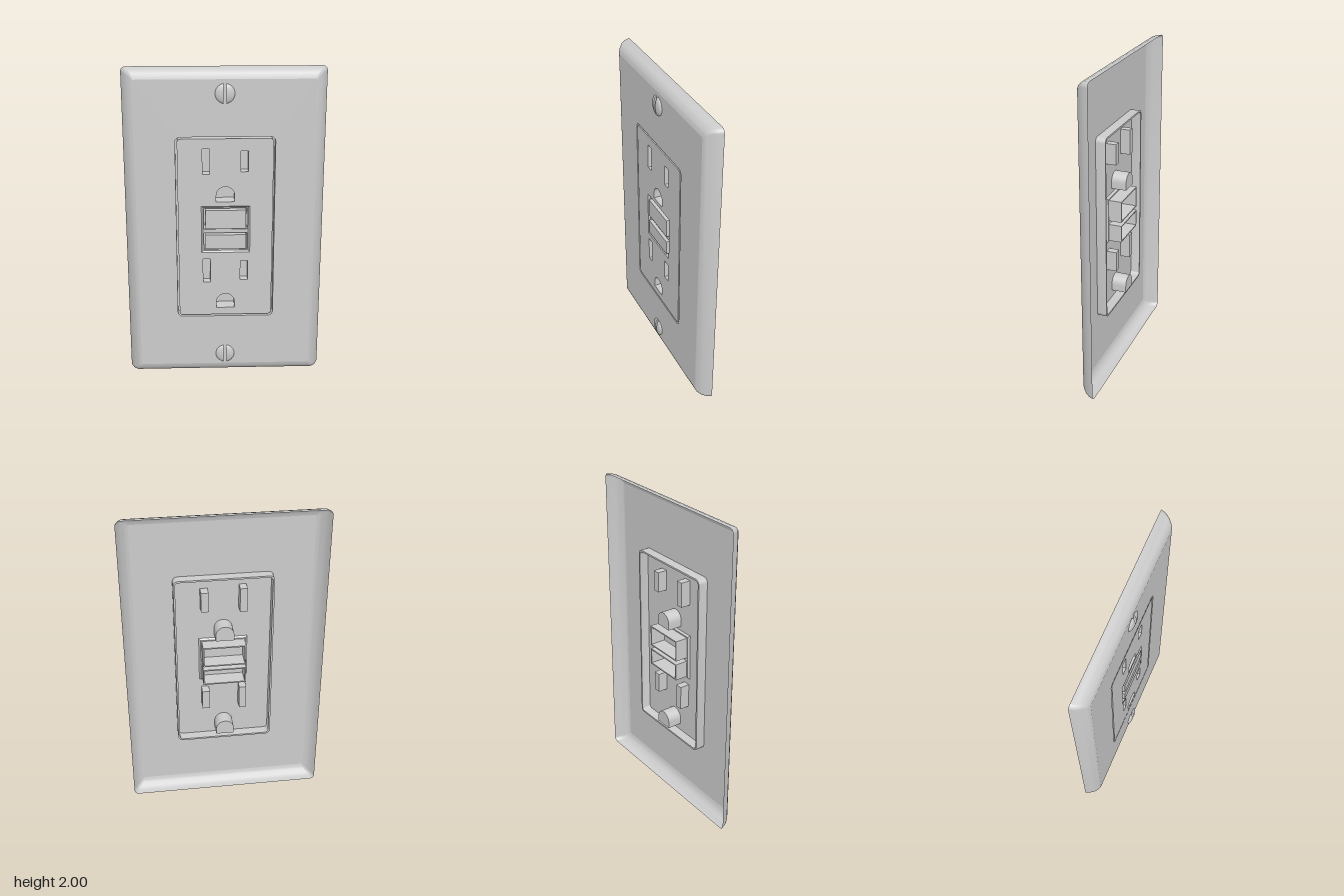
import * as THREE from 'three';
import { toCreasedNormals } from 'three/addons/utils/BufferGeometryUtils.js';

const FRONT = 0.038;      // front plane of the plate
const BACK = -0.057;      // deepest pockets
const material = new THREE.MeshStandardMaterial({ color: 0xcccccc, side: THREE.DoubleSide });

// Counter-clockwise rounded rectangle
function roundRect(x0, x1, y0, y1, r = 0, n = 6) {
  const pts = [];
  const corners = [[x1 - r, y0 + r], [x1 - r, y1 - r], [x0 + r, y1 - r], [x0 + r, y0 + r]];
  corners.forEach(([cx, cy], q) => {
    for (let i = 0; i <= (r ? n : 0); i++) {
      const a = (q - 1 + (r ? i / n : 0)) * Math.PI / 2;
      pts.push(new THREE.Vector2(cx + r * Math.cos(a), cy + r * Math.sin(a)));
    }
  });
  return pts;
}

// Flat-bottomed arch
function arch(cx, y0, cy, r) {
  const pts = [new THREE.Vector2(cx - r, y0), new THREE.Vector2(cx + r, y0)];
  for (let i = 0; i <= 16; i++) {
    const a = Math.PI * i / 16;
    pts.push(new THREE.Vector2(cx + r * Math.cos(a), cy + r * Math.sin(a)));
  }
  return pts;
}

// Skin through equal-length outlines [points, z], listed from back to front
function loft(loops, crease = 0.6) {
  const n = loops[0][0].length, pos = [], idx = [];
  for (const [pts, z] of loops) for (const p of pts) pos.push(p.x, p.y, z);
  for (let k = 0; k < loops.length - 1; k++) {
    for (let i = 0; i < n; i++) {
      const a = k * n + i, b = k * n + (i + 1) % n;
      idx.push(a, b, b + n, a, b + n, a + n);
    }
  }
  const g = new THREE.BufferGeometry();
  g.setAttribute('position', new THREE.Float32BufferAttribute(pos, 3));
  g.setIndex(idx);
  return toCreasedNormals(g, crease);
}

// Flat panel with holes
function panel(outline, holes, z) {
  const s = new THREE.Shape(outline);
  s.holes = holes.map(h => new THREE.Path(h));
  return new THREE.ShapeGeometry(s).translate(0, 0, z);
}

function part(name, ...geometries) {
  const g = new THREE.Group();
  g.name = name;
  for (const geo of geometries) g.add(new THREE.Mesh(geo, material));
  return g;
}

// Slotted domed screw head
function screw(y) {
  const r = 0.06, h = 0.019, gap = 0.009, prof = [], side = [];
  for (let i = 0; i <= 8; i++) {
    const a = i / 8 * Math.PI / 2;
    prof.push(new THREE.Vector2(r * Math.cos(a), h * Math.sin(a)));
  }
  for (let i = 0; i <= 16; i++) {
    const a = i / 16 * Math.PI;
    side.push(new THREE.Vector2(r * Math.cos(a), h * Math.sin(a)));
  }
  const g = part('screw');
  for (const turn of [0, Math.PI]) {
    // half dome held clear of the slot, then its flat slot wall
    const dome = new THREE.LatheGeometry(prof, 16, 0, Math.PI).rotateX(Math.PI / 2);
    const p = dome.attributes.position;
    for (let i = 0; i < p.count; i++) p.setX(i, Math.max(p.getX(i), gap));
    const wall = new THREE.ShapeGeometry(new THREE.Shape(side))
      .rotateX(Math.PI / 2).rotateZ(Math.PI / 2).translate(gap, 0, 0);
    const half = part('screwHalf', dome, wall);
    half.rotation.z = turn;
    g.add(half);
  }
  g.position.set(0, y, FRONT);
  return g;
}

export function createModel() {
  const model = new THREE.Group();
  model.name = 'wallOutlet';

  // Cover plate: hollow shell with rounded rim; [x inset, y inset, z, corner radius]
  const rim = [[0, 0, -0.052, 0.03], [0.011, 0.003, -0.022, 0.028], [0.028, 0.012, 0.004, 0.024],
    [0.049, 0.031, 0.025, 0.018], [0.06, 0.046, 0.033, 0.014], [0.073, 0.065, FRONT, 0.01]]
    .map(([ix, iy, z, r]) => [roundRect(-0.62 + ix, 0.62 - ix, iy, 2 - iy, r), z]);
  const opening = roundRect(-0.302, 0.307, 0.407, 1.588, 0.03);
  model.add(part('coverPlate', loft(rim, 0.9), panel(rim.at(-1)[0], [opening], FRONT)));

  // Narrow groove around the insert
  const insert = roundRect(-0.291, 0.296, 0.418, 1.577, 0.022);
  const grooveZ = -0.023;
  model.add(part('groove', loft([[opening, grooveZ], [opening, FRONT]]),
    loft([[insert, grooveZ], [insert, FRONT]]), panel(opening, [insert], grooveZ)));

  // Blade slots and ground holes of both sockets
  const pockets = [];
  for (const dy of [0, -0.713]) {
    pockets.push(['wideSlot', roundRect(-0.138, -0.093, 1.356 + dy, 1.515 + dy), -0.025]);
    pockets.push(['narrowSlot', roundRect(0.097, 0.144, 1.37 + dy, 1.5 + dy), -0.025]);
    pockets.push(['groundHole', arch(0.003, 1.179 + dy, 1.219 + dy, 0.057), BACK]);
  }
  for (const [name, outline, z] of pockets) {
    model.add(part(name, loft([[outline, z], [outline, FRONT]]), panel(outline, [], z)));
  }

  // Insert face
  const frame = roundRect(-0.147, 0.156, 0.845, 1.15);
  model.add(part('insertFace', panel(insert, [...pockets.map(p => p[1]), frame], FRONT)));

  // Recessed button frame with a sloping edge
  const frameZ = 0.026;
  const frameIn = roundRect(-0.137, 0.146, 0.855, 1.14);
  const wells = [[0.862, 0.972], [0.996, 1.133]].map(([a, b]) => [a, b, roundRect(-0.13, 0.139, a, b)]);
  model.add(part('buttonFrame', loft([[frameIn, frameZ], [frame, FRONT]]),
    panel(frameIn, wells.map(w => w[2]), frameZ)));

  // Push buttons: hollow at the back, each in its own well
  for (const [a, b, well] of wells) {
    const cap = roundRect(-0.122, 0.131, a + 0.008, b - 0.008);
    model.add(part('button', loft([[well, BACK], [well, frameZ]]), panel(well, [cap], BACK),
      loft([[cap, BACK], [cap, 0.043]]), panel(cap, [], 0.043)));
  }

  model.add(screw(1.85), screw(0.137));
  return model;
}
